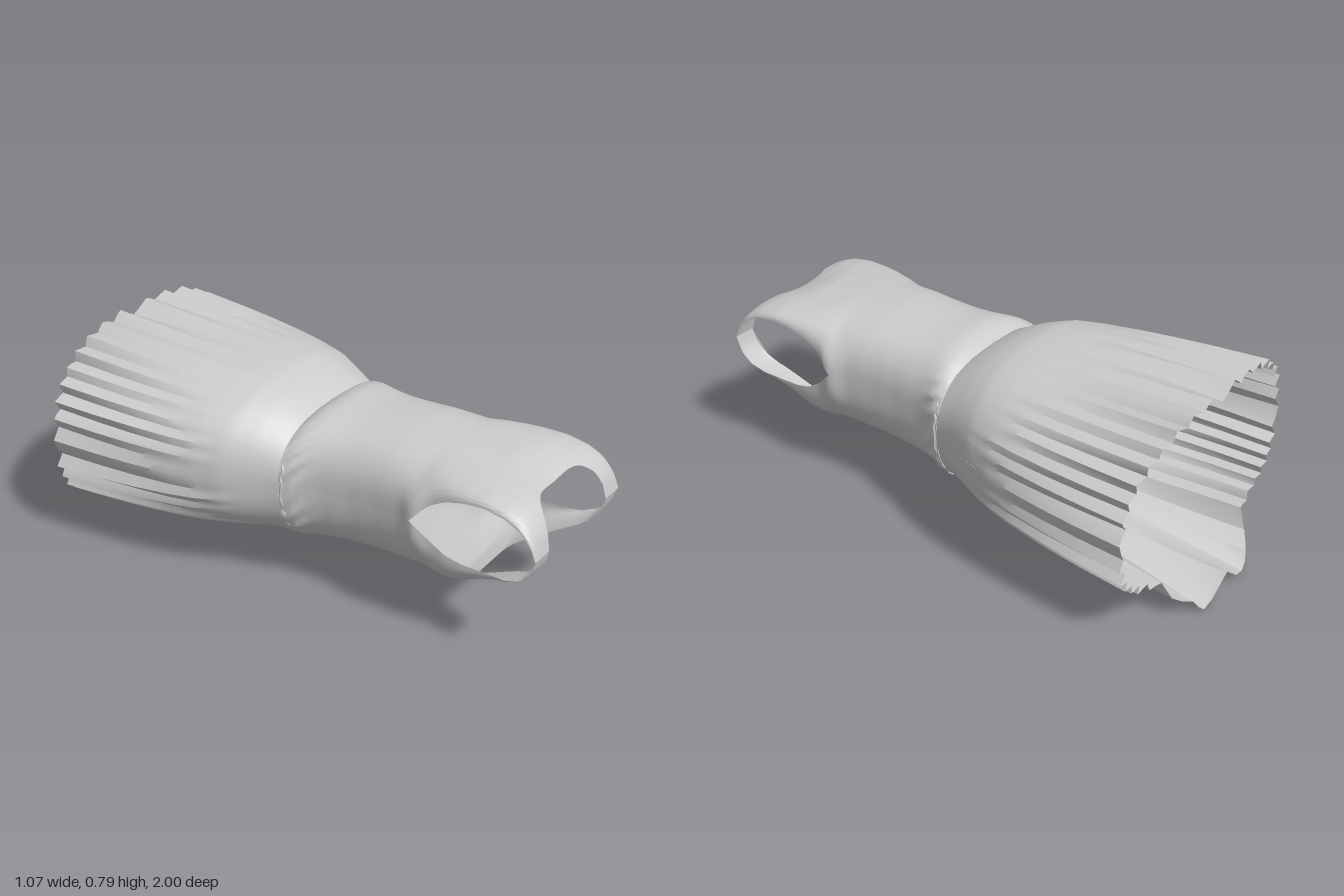
import * as THREE from 'three';
import { mergeGeometries, toCreasedNormals } from 'three/addons/utils/BufferGeometryUtils.js';
import { ParametricGeometry } from 'three/addons/geometries/ParametricGeometry.js';

// Turns [position, value] pairs into a function that interpolates between them
const profile = (pts) => (z) => {
  if (z <= pts[0][0]) return pts[0][1];
  for (let i = 1; i < pts.length; i++) {
    const [z0, a] = pts[i - 1], [z1, b] = pts[i];
    if (z <= z1) return a + (b - a) * (z - z0) / (z1 - z0);
  }
  return pts[pts.length - 1][1];
};
const rounded = (v, p) => Math.sign(v) * Math.abs(v) ** (2 / p);
const bump = (z, centre, width) => Math.exp(-(((z - centre) / width) ** 2));

// Bodice: half width, chest and back heights, and armhole edges along z
const bodiceWidth = profile([[0, 0.335], [0.04, 0.325], [0.08, 0.302], [0.14, 0.285], [0.25, 0.272], [0.35, 0.272], [0.45, 0.28], [0.7, 0.288], [1, 0.292]]);
const chestY = profile([[0, 0.66], [0.03, 0.685], [0.08, 0.698], [0.2, 0.692], [0.4, 0.7], [0.6, 0.69], [0.8, 0.672], [0.87, 0.658], [0.92, 0.64], [0.96, 0.605], [0.985, 0.56], [1, 0.49]]);
const backY = profile([[0, 0.17], [0.2, 0.19], [0.4, 0.205], [0.62, 0.21], [0.68, 0.225], [0.78, 0.285], [0.87, 0.34], [0.93, 0.372], [0.97, 0.41], [0.99, 0.44], [1, 0.49]]);
const neckSag = profile([[0.75, 0], [0.9, 0.025]]);
const side = [[0, 0.45], [0.4, 0.48], [0.53, 0.49]];
const armholeTop = profile([...side, [0.55, 0.52], [0.59, 0.56], [0.65, 0.595], [0.72, 0.615], [0.8, 0.623], [0.88, 0.61], [0.94, 0.58], [0.98, 0.535], [1, 0.49]]);
const armholeBottom = profile([...side, [0.55, 0.465], [0.59, 0.425], [0.65, 0.385], [0.72, 0.365], [0.8, 0.358], [0.88, 0.366], [0.94, 0.39], [0.98, 0.43], [1, 0.49]]);

// One bodice panel, from one armhole edge across to the other and up to the neckline
function bodicePanel(isFront) {
  const neck = isFront ? 0.9 : 0.68;
  const power = isFront ? 4 : 5;
  return new ParametricGeometry((u, v, out) => {
    const angle = Math.PI * (isFront ? u : 1 + u);
    const c = Math.cos(angle), s = Math.abs(Math.sin(angle));
    const across = rounded(c, 2.6);
    const scoop = Math.min(1, Math.abs(across) * 0.292 / 0.2);
    const end = neck + (1 - neck) * scoop ** power;
    const z = end * (1 - (1 - v) ** 1.4);
    const edge = isFront ? armholeTop(z) : armholeBottom(z);
    // The chest sags toward the neckline; the back narrows beside the armholes
    const outer = isFront ? chestY(z) - neckSag(z) * bump(across, 0, 0.5) : backY(z);
    const width = bodiceWidth(z) * (isFront ? 1 : 1 - 0.09 * bump(z, 0.8, 0.13));
    // Gathered cloth at the underarm and the waist
    const puff = 0.025 * bump(z, 0.53, 0.04) * c ** 8;
    const crumple = 0.008 * bump(z, 0.05, 0.045) * Math.sin(angle * 23 + z * 90) * c * c;
    out.set(across * width + Math.sign(c) * (puff + crumple), edge + (outer - edge) * rounded(s, 2.6), z);
  }, 96, 56);
}

// Skirt: half width and heights by distance from the waist
const skirtWidth = profile([[0, 0.335], [0.05, 0.352], [0.1, 0.375], [0.2, 0.422], [0.3, 0.453], [0.4, 0.473], [0.55, 0.492], [0.7, 0.505], [0.9, 0.516]]);
const skirtTop = profile([[0, 0.66], [0.04, 0.685], [0.1, 0.715], [0.18, 0.742], [0.28, 0.752], [0.5, 0.763], [0.7, 0.772], [0.95, 0.782]]);
const skirtBottom = profile([[0, 0.17], [0.1, 0.175], [0.25, 0.165], [0.5, 0.158], [1, 0.155]]);
const pleats = 34;

function skirtSurface() {
  return new ParametricGeometry((u, v, out) => {
    const angle = -2 * Math.PI * u;
    const c = Math.cos(angle), s = Math.sin(angle);
    // The lower half grows boxier toward the hem
    const power = s < 0 ? 2.4 + v : 2.4;
    const across = rounded(c, power);
    // The hem reaches further at the middle of the front and of the back panel
    const tail = s < 0 ? 1 / (1 + (Math.abs(across) / 0.46) ** 9) : 0;
    const hem = 0.88 + (s > 0 ? 0.05 * s * s : 0.12 * tail * (1 - 0.3 * Math.abs(across)));
    const d = hem * v;
    const mid = 0.45;
    const x = across * skirtWidth(d);
    let y = mid + rounded(s, power) * (s > 0 ? skirtTop(d) - mid : mid - skirtBottom(d));
    // Back panel drops away below the rest, with a notch at its centre
    const notch = 1 - 0.4 * bump(across, 0, 0.04) * v ** 3;
    y -= 0.14 * tail * notch * Math.min(1, d) ** 1.2 * Math.min(1, d * 5);
    // The front dips slightly at its centre
    if (s > 0) y -= 0.02 * bump(across, 0, 0.14) * v * v;
    // Pleats that deepen toward the hem and begin nearer the waist underneath
    const phase = u * pleats;
    const wave = Math.abs((phase - Math.floor(phase)) * 2 - 1) * 2 - 1;
    const start = 0.22 + 0.08 * Math.sin(Math.floor(phase) * 2.3) + 0.14 * s;
    const depth = 0.016 * (1 + 0.25 * Math.sin(Math.floor(phase + 0.5) * 4.1)) * Math.max(0, (v - start) / (1 - start)) ** 0.8;
    const r = Math.hypot(x, y - mid);
    out.set(x + x / r * wave * depth, Math.max(0, y + (y - mid) / r * wave * depth), -d);
  }, pleats * 4, 44);
}

export function createModel() {
  const group = new THREE.Group();
  group.name = 'dress';
  const cloth = new THREE.MeshStandardMaterial({ color: 0xcccccc, side: THREE.DoubleSide });
  const add = (name, geometry, crease) => {
    const mesh = new THREE.Mesh(toCreasedNormals(geometry, crease), cloth);
    mesh.name = name;
    group.add(mesh);
  };

  add('bodice', mergeGeometries([bodicePanel(true), bodicePanel(false)]), 0.9);
  add('pleatedSkirt', skirtSurface(), 0.5);

  // Uneven gathered seam around the waist
  const seamPoints = [];
  for (let i = 0; i < 72; i++) {
    const a = i / 72 * Math.PI * 2, s = Math.sin(a);
    const y = 0.45 + rounded(s, 2.4) * (s > 0 ? 0.212 : 0.277);
    seamPoints.push(new THREE.Vector3(rounded(Math.cos(a), 2.4) * 0.333, y, 0.012 + 0.006 * Math.sin(i * 2.7)));
  }
  const seam = new THREE.TubeGeometry(new THREE.CatmullRomCurve3(seamPoints, true), 144, 0.006, 5, true);
  add('waistSeam', seam, 0.9);
  return group;
}
